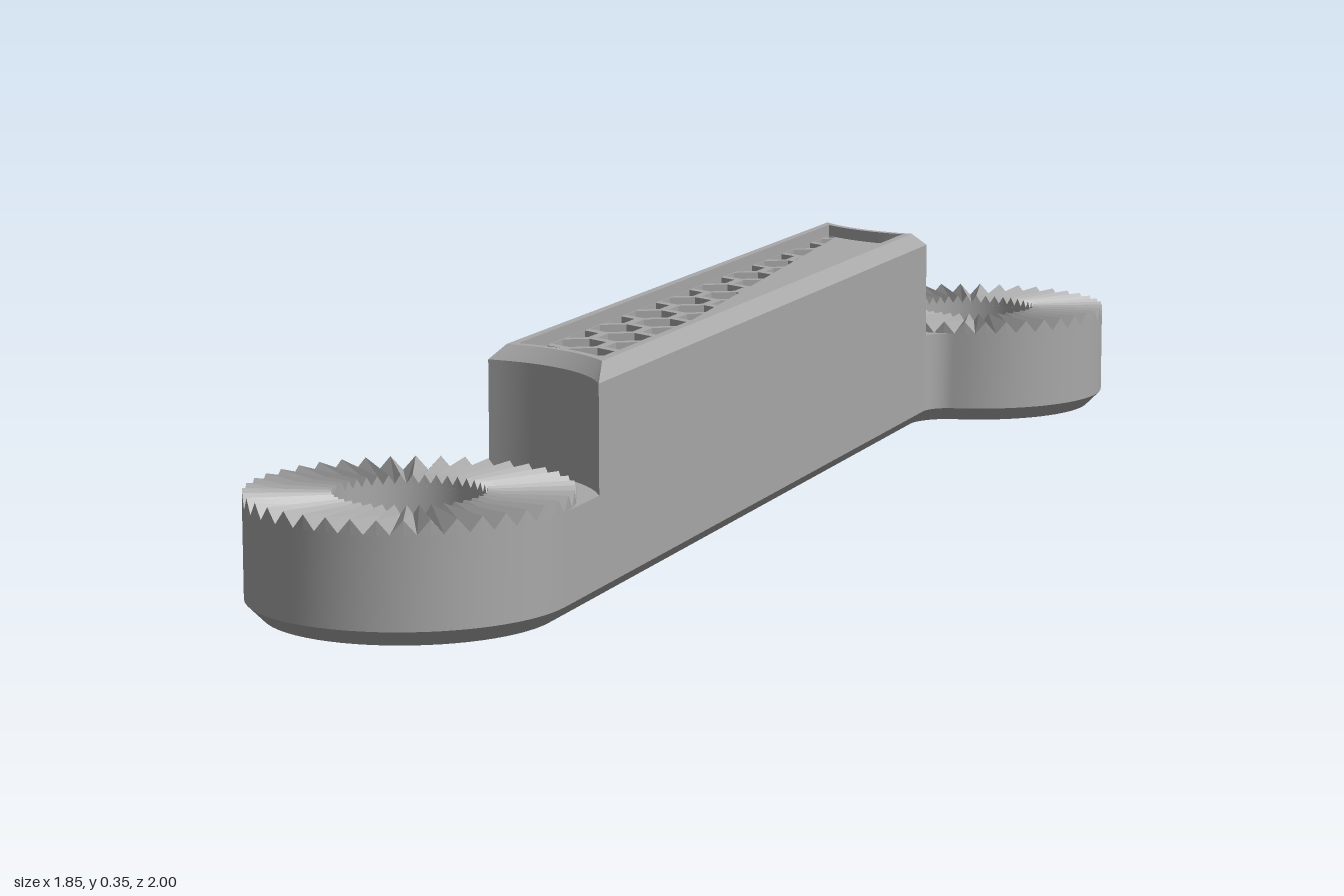
import * as THREE from 'three';
import { mergeGeometries, toCreasedNormals } from 'three/addons/utils/BufferGeometryUtils.js';

// Plan coordinates: x runs along the bar, y across it; heights are separate.
const HALF = 0.12, RING = 0.245, BORE = 0.115, POCKET = 0.165, CLEAR = 0.28;
const CX = 1.008, CY = HALF - RING;               // ring centre, the other is its negative
const SHOULDER = 0.165, TOP = 0.355, WEB_TOP = 0.335, LEDGE = 0.12;
const TURN = THREE.MathUtils.degToRad(55.07);

const V = (x, y) => new THREE.Vector2(x, y);
const arc = (cx, cy, r, a0, a1, n) => Array.from({ length: n + 1 }, (_, i) => {
  const a = a0 + (a1 - a0) * i / n;
  return V(cx + r * Math.cos(a), cy + r * Math.sin(a));
});
const circle = (cx, cy, r, n = 48) => arc(cx, cy, r, 0, 2 * Math.PI, n).slice(0, n);
const bothEnds = half => [...half, ...half.map(p => V(-p.x, -p.y))];
const reversed = pts => [...pts].reverse();

// Lower outline: two rings joined tangentially to the bar, with a fillet on the inner corner
function lowerOutline(inset) {
  const f = 0.05, dy = -HALF - f - CY, dx = Math.sqrt((RING + f) ** 2 - dy ** 2);
  const a = Math.atan2(-dy, dx);
  return bothEnds([
    ...arc(CX - dx, CY + dy, f + inset, Math.PI / 2, a, 10),
    ...arc(CX, CY, RING - inset, Math.PI + a, 2.5 * Math.PI, 48).slice(1),
  ]);
}

// Upper outline: straight bar whose ends curve clear of the rings
function upperOutline(inset) {
  const w = HALF - inset, r = CLEAR + inset;
  return bothEnds(Array.from({ length: 17 }, (_, i) => {
    const y = -w + 2 * w * i / 16;
    return V(CX - Math.sqrt(r * r - (y - CY) ** 2), y);
  }));
}

// Keep the side of a polygon where n.p >= k
function clip(poly, nx, ny, k) {
  const out = [];
  poly.forEach((p, i) => {
    const q = poly[(i + 1) % poly.length];
    const dp = p.x * nx + p.y * ny - k, dq = q.x * nx + q.y * ny - k;
    if (dp >= 0) out.push(p);
    if (dp * dq < 0) out.push(p.clone().lerp(q, dp / (dp - dq)));
  });
  return out;
}

// Hexagonal cells trimmed to the space inside the rim
function honeycomb() {
  const pitch = 0.09, r = 0.074 / Math.sqrt(3), rim = 0.037, cells = [];
  for (let c = -12; c <= 12; c++) for (let j = -2; j <= 2; j++) {
    const x = c * pitch * Math.sqrt(3) / 2, y = (j + (c % 2 ? 0.5 : 0)) * pitch;
    let poly = circle(x, y, r, 6);
    poly = clip(poly, 0, 1, rim - HALF);
    poly = clip(poly, 0, -1, rim - HALF);
    for (const s of [1, -1]) {
      const n = V(x - s * CX, y - s * CY).normalize();
      poly = clip(poly, n.x, n.y, n.x * s * CX + n.y * s * CY + CLEAR + rim);
    }
    if (poly.length > 2 && Math.abs(THREE.ShapeUtils.area(poly)) > 0.0002 && Math.abs(x) < CX - 0.1) cells.push(poly);
  }
  return cells;
}

function fromPositions(pos) {
  const g = new THREE.BufferGeometry();
  g.setAttribute('position', new THREE.Float32BufferAttribute(pos, 3));
  return g;
}

// Wall through matching loops given as [points, height]
function skin(...layers) {
  const pos = [];
  for (let l = 0; l + 1 < layers.length; l++) {
    const [lo, y0] = layers[l], [hi, y1] = layers[l + 1], n = lo.length;
    for (let i = 0; i < n; i++) {
      const k = (i + 1) % n;
      const a = [lo[i].x, y0, -lo[i].y], b = [lo[k].x, y0, -lo[k].y];
      const c = [hi[k].x, y1, -hi[k].y], d = [hi[i].x, y1, -hi[i].y];
      pos.push(...a, ...b, ...c, ...a, ...c, ...d);
    }
  }
  return fromPositions(pos);
}

// Flat face with holes, looking up or down
function cap(outline, holes, y, up = true) {
  const shape = new THREE.Shape(outline);
  shape.holes = holes.map(h => new THREE.Path(h));
  const g = new THREE.ShapeGeometry(shape).toNonIndexed(), p = g.attributes.position, pos = [];
  for (let i = 0; i < p.count; i += 3)
    for (const k of up ? [0, 1, 2] : [0, 2, 1]) pos.push(p.getX(i + k), y, -p.getY(i + k));
  return fromPositions(pos);
}

// Ring of radial teeth with its outer and inner skirts
function teeth(cx, cy, count = 40) {
  const pos = [], n = count * 2;
  const section = i => {
    const a = i / n * 2 * Math.PI, s = i % 2 ? 1 : -1;
    return [[RING, SHOULDER], [RING, 0.176 + s * 0.011], [BORE, 0.176 + s * 0.007], [BORE, SHOULDER]]
      .map(([r, y]) => [cx + r * Math.cos(a), y, -(cy + r * Math.sin(a))]);
  };
  for (let i = 0; i < n; i++) {
    const p = section(i), q = section(i + 1);
    for (let k = 0; k < 3; k++) pos.push(...p[k], ...q[k], ...q[k + 1], ...p[k], ...q[k + 1], ...p[k + 1]);
  }
  return fromPositions(pos);
}

export function createModel() {
  const grey = new THREE.MeshStandardMaterial({ color: 0xa8a8a8 });
  grey.name = 'grey plastic';
  const model = new THREE.Group();
  model.name = 'toothedArm';
  const arm = new THREE.Group();
  arm.name = 'arm';
  arm.rotation.y = TURN;
  model.add(arm);
  const add = (name, parts, crease = 0.5) => {
    const mesh = new THREE.Mesh(toCreasedNormals(mergeGeometries(parts), crease), grey);
    mesh.name = name;
    arm.add(mesh);
  };

  const cells = honeycomb();
  const ends = [1, -1];
  const rings = r => ends.map(s => circle(s * CX, s * CY, r));
  const low = lowerOutline(0), foot = lowerOutline(0.025);

  // Lower body with a chamfered foot
  add('lowerBody', [
    skin([foot, 0], [low, 0.025], [low, SHOULDER]),
    cap(foot, [...rings(POCKET), ...cells], 0, false),
    cap(low, [...rings(BORE), ...cells], SHOULDER),
  ]);

  // Raised bar with a chamfered rim
  const bar = upperOutline(0), rimOut = upperOutline(0.022), rimIn = upperOutline(0.036);
  add('raisedBar', [
    skin([bar, SHOULDER - 0.005], [bar, TOP - 0.022], [rimOut, TOP]),
    cap(rimOut, [rimIn], TOP),
    skin([reversed(rimIn), WEB_TOP], [reversed(rimIn), TOP]),
  ]);

  // Honeycomb web running through the bar
  add('honeycombWeb', [
    cap(upperOutline(0.03), cells, WEB_TOP),
    ...cells.map(c => skin([reversed(c), 0], [reversed(c), WEB_TOP])),
  ]);

  ends.forEach((s, i) => {
    const side = i ? 'front' : 'back', x = s * CX, y = s * CY;
    // Stepped bore, wider from below
    const bore = circle(x, y, BORE), pocket = circle(x, y, POCKET);
    add(side + 'Bore', [
      skin([reversed(pocket), 0], [reversed(pocket), LEDGE]),
      cap(pocket, [bore], LEDGE, false),
      skin([reversed(bore), LEDGE], [reversed(bore), SHOULDER]),
    ]);
    add(side + 'Teeth', [teeth(x, y)], 0.01);
    // Locating key inside the pocket
    const key = new THREE.Mesh(new THREE.BoxGeometry(0.05, 0.1, 0.03), grey);
    key.name = side + 'Key';
    key.position.set(x + s * 0.143, 0.07, -y);
    arm.add(key);
  });
  return model;
}
